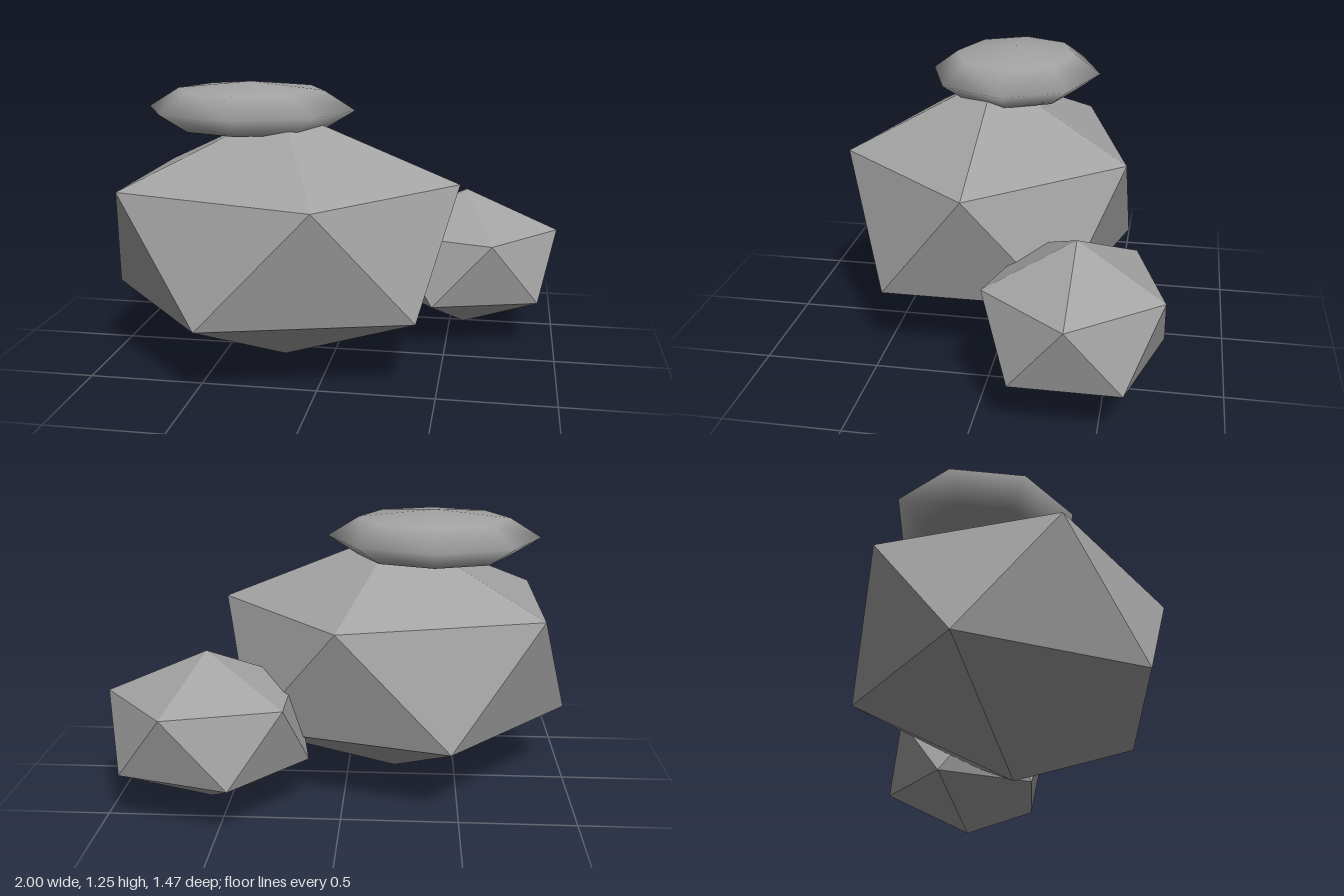
import * as THREE from 'three';

export function createModel() {
  const group = new THREE.Group();
  group.name = 'rockPile';

  const stone = new THREE.MeshStandardMaterial({ color: 0xa3a3a3 });
  stone.name = 'stoneGrey';

  // Faceted stone: an icosahedron turned so that one corner points straight up
  const facetedStone = () =>
    new THREE.IcosahedronGeometry(1, 0).rotateZ(-Math.atan(2 / (1 + Math.sqrt(5))));

  // Stretches a unit stone to its radii and sets it in place
  const addStone = (name, geometry, radii, position) => {
    geometry.scale(...radii);
    const mesh = new THREE.Mesh(geometry, stone);
    mesh.name = name;
    mesh.position.set(...position);
    group.add(mesh);
  };

  addStone('largeRock', facetedStone(), [0.872, 0.57, 0.741], [-0.22, 0.57, 0.1]);
  addStone('smallRock', facetedStone(), [0.478, 0.333, 0.429], [0.572, 0.371, -0.375]);

  // Smooth flat pebble balanced on the large rock
  addStone('topPebble', new THREE.SphereGeometry(1, 8, 4), [0.47, 0.12, 0.395], [-0.38, 1.125, 0.025]);

  return group;
}
